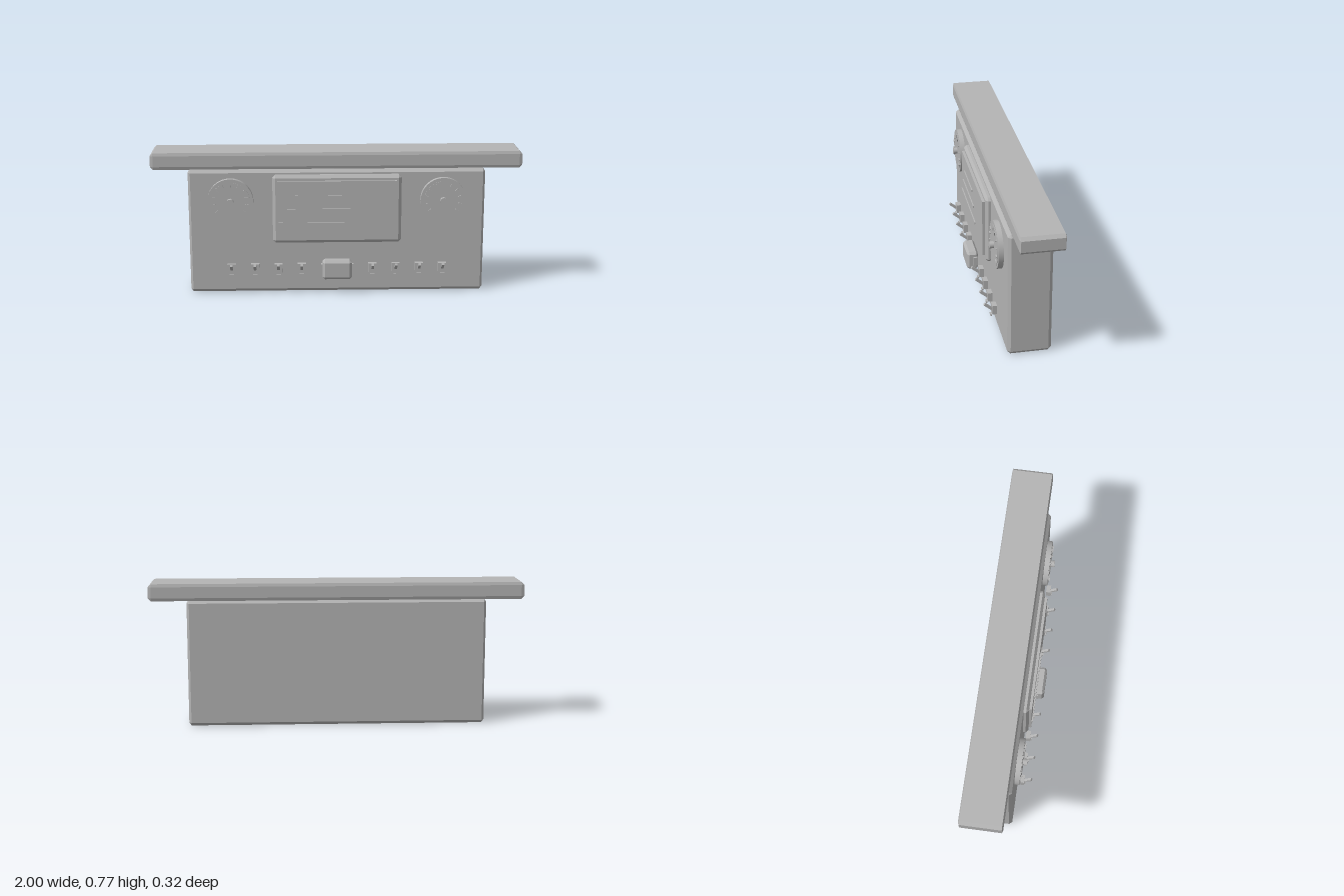
import * as THREE from 'three';
import { ConvexGeometry } from 'three/addons/geometries/ConvexGeometry.js';

const grey = new THREE.MeshStandardMaterial({ color: 0xb4b4b4 });
grey.name = 'panel grey';

function add(parent, name, geometry, x = 0, y = 0, z = 0) {
  const mesh = new THREE.Mesh(geometry, grey);
  mesh.name = name;
  mesh.position.set(x, y, z);
  parent.add(mesh);
  return mesh;
}

// Box with flat chamfers, cut by cx, cy, cz along each axis
function chamferBox(w, h, d, cx, cy, cz) {
  const points = [];
  const a = w / 2, b = h / 2, c = d / 2;
  for (const sx of [-1, 1]) for (const sy of [-1, 1]) for (const sz of [-1, 1]) {
    points.push(
      new THREE.Vector3(sx * a, sy * (b - cy), sz * (c - cz)),
      new THREE.Vector3(sx * (a - cx), sy * b, sz * (c - cz)),
      new THREE.Vector3(sx * (a - cx), sy * (b - cy), sz * c));
  }
  return new ConvexGeometry(points);
}

// Cylinder facing +z
function disc(radius, depth, segments) {
  return new THREE.CylinderGeometry(radius, radius, depth, segments).rotateX(Math.PI / 2);
}

// Round dial with an arc of ticks and a centre hub
function makeGauge(x) {
  const gauge = new THREE.Group();
  gauge.name = 'gauge';
  gauge.position.set(x, 0.517, 0);
  add(gauge, 'gaugeRim', disc(0.123, 0.032, 40), 0, 0, 0.091);
  add(gauge, 'gaugeFace', disc(0.105, 0.01, 40), 0, 0, 0.104);
  const tickCount = 11, sweep = Math.PI * 0.7;
  for (let i = 0; i < tickCount; i++) {
    const angle = -sweep + (2 * sweep * i) / (tickCount - 1);
    const tick = add(gauge, 'gaugeTick', new THREE.BoxGeometry(0.005, 0.018, 0.008),
      Math.sin(angle) * 0.09, Math.cos(angle) * 0.09, 0.111);
    tick.rotation.z = -angle;
  }
  add(gauge, 'gaugeHub', disc(0.018, 0.025, 16), 0, 0, 0.119);
  return gauge;
}

// Toggle switch: base, slanted lever, indicator below
function makeSwitch(x) {
  const toggle = new THREE.Group();
  toggle.name = 'toggleSwitch';
  toggle.position.x = x;
  add(toggle, 'switchBase', new THREE.BoxGeometry(0.045, 0.05, 0.025), 0, 0.143, 0.107);
  const lever = add(toggle, 'switchLever', new THREE.BoxGeometry(0.014, 0.013, 0.05), 0, 0.157, 0.138);
  lever.rotation.x = -0.68;
  add(toggle, 'switchLamp', new THREE.BoxGeometry(0.024, 0.01, 0.008), 0, 0.108, 0.123);
  return toggle;
}

export function createModel() {
  const model = new THREE.Group();
  model.name = 'instrumentPanel';

  // Main slab and overhanging hood
  add(model, 'panelBody', chamferBox(1.6, 0.685, 0.226, 0.013, 0.017, 0.016), 0, 0.3425, -0.033);
  add(model, 'hood', chamferBox(2, 0.091, 0.225, 0.016, 0.016, 0.005), 0, 0.7295, -0.0475);

  // Display with three raised lines
  add(model, 'screenBezel', chamferBox(0.695, 0.376, 0.055, 0.016, 0.016, 0.013), 0, 0.471, 0.0795);
  add(model, 'screen', new THREE.BoxGeometry(0.64, 0.315, 0.02), 0, 0.472, 0.111);
  [0.25, 0.34, 0.43].forEach((length, i) => {
    add(model, 'screenLine', new THREE.BoxGeometry(length, 0.012, 0.007),
      -0.1, 0.547 - i * 0.0745, 0.1235);
  });

  // Gauges and switches, mirrored
  for (const side of [-1, 1]) {
    model.add(makeGauge(side * 0.573));
    for (let i = 0; i < 4; i++) model.add(makeSwitch(side * (0.192 + i * 0.127)));
  }

  // Central control box with side tabs
  add(model, 'controlBox', chamferBox(0.16, 0.106, 0.062, 0.014, 0.013, 0.012), 0, 0.143, 0.131);
  for (const side of [-1, 1]) {
    add(model, 'controlBoxTab', new THREE.BoxGeometry(0.016, 0.05, 0.025), side * 0.08, 0.143, 0.118);
  }
  return model;
}
